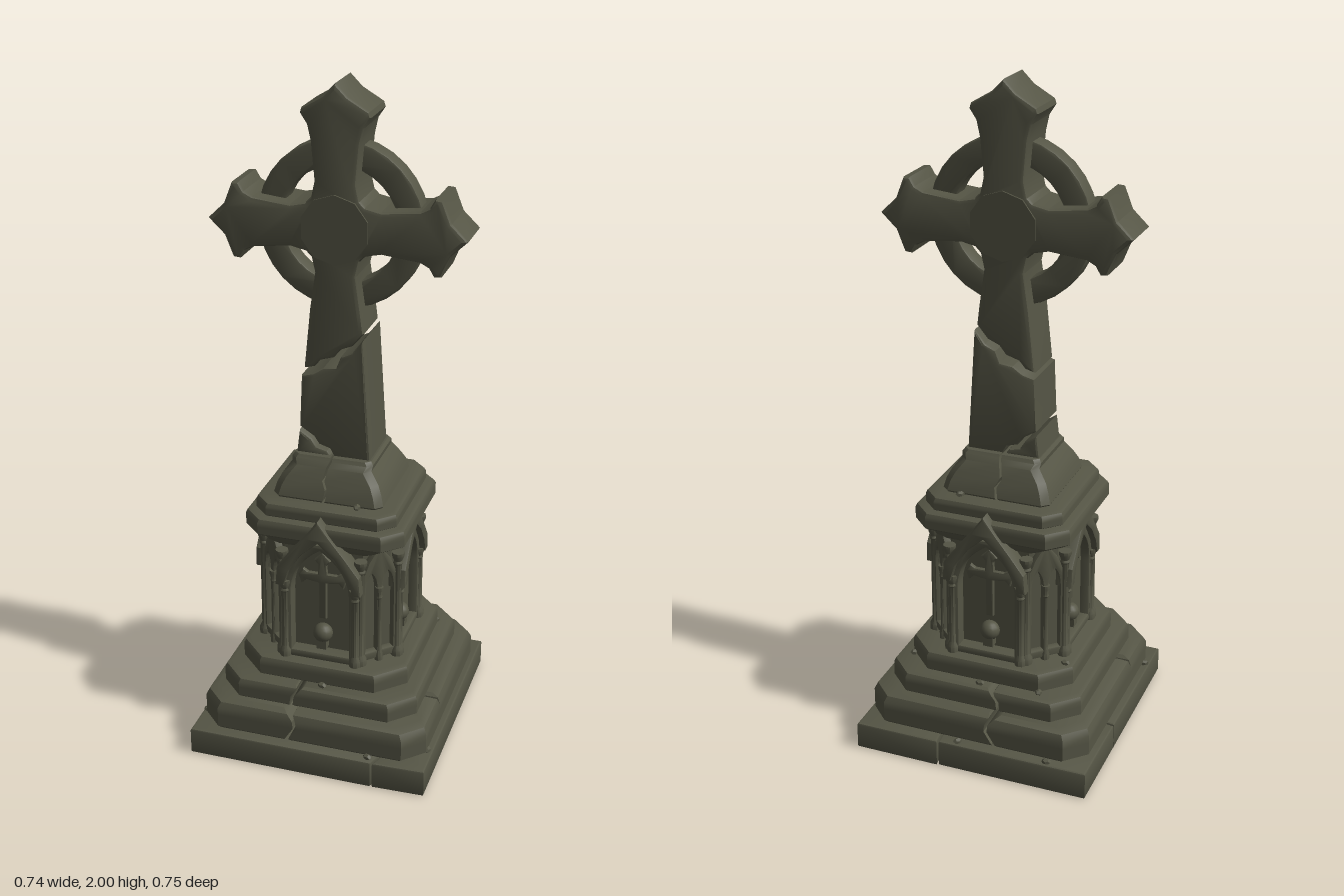
import * as THREE from 'three';
import { toCreasedNormals } from 'three/addons/utils/BufferGeometryUtils.js';

const stone = new THREE.MeshStandardMaterial({ color: 0x555545 });
stone.name = 'weathered stone';

function add(parent, name, geo, x = 0, y = 0, z = 0) {
  const m = new THREE.Mesh(geo, stone);
  m.name = name;
  m.position.set(x, y, z);
  parent.add(m);
  return m;
}

// Stack of chamfered rectangles [y, halfX, halfZ, chamfer, inset], clipped to a span in x and z
function loft(rings, x0 = () => -9, x1 = () => 9, z0 = -9, z1 = 9) {
  const pos = [];
  const loops = rings.map(([y, a, b, c, inset = 0]) =>
    [[a, b - c], [a - c, b], [c - a, b], [-a, b - c], [-a, c - b], [c - a, -b], [a - c, -b], [a, c - b]]
      .map(([x, z]) => [
        Math.min(Math.max(x, x0(y) + inset), x1(y) - inset), y,
        Math.min(Math.max(z, z0 + inset), z1 - inset)]));
  const tri = (...p) => p.forEach(v => pos.push(...v));
  for (let k = 0; k + 1 < loops.length; k++)
    for (let i = 0; i < 8; i++) {
      const j = (i + 1) % 8, A = loops[k], B = loops[k + 1];
      tri(A[i], B[i], A[j]);
      tri(A[j], B[i], B[j]);
    }
  const bottom = loops[0], top = loops[loops.length - 1];
  for (let i = 1; i < 7; i++) {
    tri(bottom[0], bottom[i], bottom[i + 1]);
    tri(top[0], top[i + 1], top[i]);
  }
  const g = new THREE.BufferGeometry();
  g.setAttribute('position', new THREE.Float32BufferAttribute(pos, 3));
  return toCreasedNormals(g, 0.6);
}

// Ring profile of one worn stone course with soft edges
function course(y0, y1, a, b, c, r) {
  return [[y0, 0.4], [y0 + 0.4 * r, 0], [(y0 + y1) / 2, 0], [y1 - r, 0], [y1 - 0.3 * r, 0.3], [y1, 1]]
    .map(([y, k]) => [y, a - k * r, b - k * r, c, k * r * 0.5]);
}

const toShape = pts => new THREE.Shape(pts.map(p => new THREE.Vector2(...p)));

// Extruded outline centred on z with a worn edge that stays inside the outline
function slab(shape, depth, bevel = 0.01) {
  const g = new THREE.ExtrudeGeometry(shape, {
    depth: depth - 2 * bevel, bevelEnabled: bevel > 0, bevelThickness: bevel, bevelSize: bevel,
    bevelOffset: -bevel, bevelSegments: 2, curveSegments: 16,
  });
  g.translate(0, 0, bevel - depth / 2);
  return toCreasedNormals(g, 0.5);
}

// Pointed arch opening
function lancet(cx, w, y0, spring, apex) {
  const p = new THREE.Path();
  p.moveTo(cx - w, y0);
  p.lineTo(cx + w, y0);
  p.lineTo(cx + w, spring);
  p.quadraticCurveTo(cx + w, (spring + apex) / 2 + 0.02, cx, apex);
  p.quadraticCurveTo(cx - w, (spring + apex) / 2 + 0.02, cx - w, spring);
  return p;
}

function colonnette(parent, x, z, y0, y1, r) {
  const pts = [[0, y0], [r * 1.6, y0], [r * 1.6, y0 + 0.02], [r, y0 + 0.035], [r, y1 - 0.04],
    [r * 1.25, y1 - 0.035], [r, y1 - 0.028], [r * 1.6, y1 - 0.01], [r * 1.6, y1], [0, y1]];
  const g = new THREE.LatheGeometry(pts.map(p => new THREE.Vector2(...p)), 10);
  add(parent, 'colonnette', toCreasedNormals(g, 0.6), x, 0, z);
}

// Gabled niche with a relief cross and a small skull
function niche() {
  const g = new THREE.Group();
  g.name = 'niche';
  const frame = toShape([[-0.12, 0.31], [0.12, 0.31], [0.12, 0.6], [0.05, 0.7], [-0.05, 0.7], [-0.12, 0.6]]);
  frame.holes.push(lancet(0, 0.088, 0.335, 0.53, 0.68));
  add(g, 'nicheFrame', slab(frame, 0.045, 0.007), 0, 0, 0.2025);
  const hood = toShape([[-0.105, 0.56], [-0.09, 0.61], [-0.05, 0.67], [0, 0.715], [0.05, 0.67], [0.09, 0.61], [0.105, 0.56],
    [0.13, 0.56], [0.125, 0.62], [0.08, 0.68], [0.04, 0.73], [0, 0.785], [-0.04, 0.73], [-0.08, 0.68], [-0.125, 0.62], [-0.13, 0.56]]);
  add(g, 'nicheHood', slab(hood, 0.055, 0.005), 0, 0, 0.2175);
  for (const s of [-1, 1]) colonnette(g, s * 0.108, 0.222, 0.31, 0.57, 0.011);
  const half = [[0.012, 0.44], [0.012, 0.56], [0.05, 0.565], [0.065, 0.55], [0.075, 0.58], [0.06, 0.6],
    [0.045, 0.59], [0.014, 0.59], [0.012, 0.62], [0.025, 0.635]];
  const relief = [...half, [0, 0.66], ...half.map(([x, y]) => [-x, y]).reverse()];
  add(g, 'reliefCross', slab(toShape(relief), 0.016, 0.004), 0, 0, 0.19);
  add(g, 'skull', new THREE.SphereGeometry(0.03, 14, 10), 0, 0.39, 0.192);
  add(g, 'skullJaw', new THREE.BoxGeometry(0.03, 0.03, 0.03), 0, 0.358, 0.197);
  return g;
}

// Twin lancet window for the cut corners
function cornerWindow() {
  const g = new THREE.Group();
  g.name = 'cornerWindow';
  const s = toShape([[-0.065, 0.32], [0.065, 0.32], [0.065, 0.58], [0.035, 0.65], [0, 0.695], [-0.035, 0.65], [-0.065, 0.58]]);
  for (const k of [-1, 1]) s.holes.push(lancet(k * 0.027, 0.019, 0.345, 0.54, 0.61));
  add(g, 'windowTracery', slab(s, 0.03, 0.004), 0, 0, 0.222);
  for (const k of [-1, 0, 1]) colonnette(g, k * 0.062, 0.232, 0.31, k ? 0.66 : 0.56, k ? 0.012 : 0.008);
  return g;
}

export function createModel() {
  const model = new THREE.Group();
  model.name = 'stoneCrossMonument';

  // Cracked ground slab in three pieces, drawn in x and -z
  const slabs = [
    [[-0.365, -0.37], [0.2, -0.37], [0.24, -0.25], [0.03, -0.05], [-0.12, 0.06], [-0.365, 0.1]],
    [[0.206, -0.37], [0.362, -0.365], [0.362, 0.375], [0.1, 0.375], [0.12, 0.2], [0.034, -0.046], [0.246, -0.25]],
    [[-0.365, 0.104], [-0.12, 0.064], [0.03, -0.044], [0.115, 0.2], [0.095, 0.372], [-0.365, 0.37]],
  ];
  for (const p of slabs) {
    const g = slab(toShape(p), 0.085, 0.006);
    g.rotateX(-Math.PI / 2);
    add(model, 'groundSlab', g, 0, 0.0425, 0);
  }

  // Stepped courses, split by a wandering crack
  const crack = y => -0.06 + 0.014 * Math.sin(y * 55);
  const crackEdge = y => crack(y) + 0.01;
  for (const [z0, z1] of [[-9, 0.12], [0.12, 9]]) {
    const lower = course(0.083, 0.185, 0.346, 0.342, 0.06, 0.028);
    add(model, 'lowerStep', loft(lower, undefined, crack, z0, z1));
    add(model, 'lowerStep', loft(lower, crackEdge, undefined, z0, z1));
  }
  const middle = course(0.183, 0.25, 0.302, 0.3, 0.07, 0.016);
  add(model, 'middleStep', loft(middle, undefined, crack));
  add(model, 'middleStep', loft(middle, crackEdge));
  add(model, 'upperStep', loft(course(0.248, 0.312, 0.258, 0.258, 0.08, 0.014)));

  // Cut-cornered body with niches and corner windows
  add(model, 'bodyCore', loft([[0.31, 0.185, 0.185, 0.065], [0.7, 0.185, 0.185, 0.065]]));
  for (let i = 0; i < 4; i++) {
    const n = niche();
    n.rotation.y = i * Math.PI / 2;
    if (i % 2) {
      n.scale.set(1, 0.94, 0.95);
      n.position.y = 0.02;
    }
    model.add(n);
    const w = cornerWindow();
    w.rotation.y = Math.PI / 4 + i * Math.PI / 2;
    model.add(w);
  }

  // Cornice mouldings
  add(model, 'lowerCornice', loft([[0.675, 0.2, 0.2, 0.07], [0.69, 0.218, 0.212, 0.06], [0.71, 0.228, 0.22, 0.06]]));
  add(model, 'cornice', loft(course(0.707, 0.762, 0.241, 0.232, 0.055, 0.014)));
  add(model, 'upperMoulding', loft(course(0.76, 0.805, 0.213, 0.208, 0.045, 0.014)));

  // Plinth under the shaft, split down the middle
  const plinth = [[0.8, 0.16, 0.155, 0.02], [0.81, 0.166, 0.16, 0.02], [0.84, 0.158, 0.152, 0.02], [0.865, 0.146, 0.14, 0.02],
    [0.9, 0.12, 0.125, 0.02], [0.915, 0.122, 0.112, 0.015], [0.925, 0.115, 0.105, 0.015]];
  const split = y => -0.012 + 0.008 * Math.sin(y * 70);
  add(model, 'plinth', loft(plinth, undefined, split));
  add(model, 'plinth', loft(plinth, y => split(y) + 0.007));

  // Broken shaft
  const shaftMain = [[0.002, 0.92], [0.11, 0.92], [0.086, 1.29], [0.055, 1.25], [0.022, 1.235], [0.008, 1.2], [-0.03, 1.195],
    [-0.06, 1.175], [-0.096, 1.165], [-0.103, 1.005], [-0.06, 0.978], [-0.045, 0.955], [-0.012, 0.945]];
  const shaftChip = [[-0.113, 0.92], [-0.006, 0.92], [-0.02, 0.937], [-0.053, 0.945], [-0.068, 0.968], [-0.104, 0.992]];
  add(model, 'shaft', slab(toShape(shaftMain), 0.178, 0.008));
  add(model, 'shaftChip', slab(toShape(shaftChip), 0.178, 0.008));

  // Cross head with flared pointed arms, continuing down to the break
  const upperRight = [[0.035, 0.365], [0.095, 0.33], [0.1, 0.315], [0.08, 0.285], [0.07, 0.24], [0.06, 0.13], [0.07, 0.085],
    [0.085, 0.07], [0.13, 0.06], [0.24, 0.072], [0.265, 0.085], [0.28, 0.11], [0.3, 0.108], [0.325, 0.045]];
  const lowerRight = [[0.325, -0.045], [0.3, -0.108], [0.28, -0.11], [0.265, -0.085], [0.24, -0.072], [0.13, -0.06],
    [0.085, -0.07], [0.07, -0.085], [0.06, -0.13], [0.076, -0.24]];
  const flip = pts => pts.map(([x, y]) => [-x, y]).reverse();
  const head = [[0, 0.4], ...upperRight, [0.372, 0], ...lowerRight,
    [0.083, -0.297], [0.05, -0.337], [0.015, -0.352], [-0.006, -0.378], [-0.045, -0.39], [-0.064, -0.412], [-0.094, -0.42],
    ...flip(lowerRight), [-0.372, 0], ...flip(upperRight)];
  add(model, 'crossHead', slab(toShape(head), 0.156, 0.012), 0, 1.6, -0.004);

  // Wheel ring and central boss
  const ring = new THREE.Shape().absarc(0, 0, 0.242, 0, Math.PI * 2);
  ring.holes.push(new THREE.Path().absarc(0, 0, 0.168, 0, Math.PI * 2));
  add(model, 'wheelRing', slab(ring, 0.062, 0.006), 0, 1.6, -0.005);
  const boss = new THREE.CylinderGeometry(0.1, 0.1, 0.166, 10);
  boss.rotateX(Math.PI / 2);
  add(model, 'centralBoss', toCreasedNormals(boss, 0.5), 0, 1.6, -0.004);

  // Loose pebbles on the ledges
  const pebbles = [[-0.24, 0.09, -0.355], [0.04, 0.09, -0.355], [0.325, 0.17, -0.26], [0, 0.255, -0.275], [0.1, 0.81, -0.17],
    [-0.18, 0.255, -0.26], [-0.23, 0.315, -0.17], [0.25, 0.255, -0.19], [0.095, 0.81, 0.165], [0.02, 0.255, 0.268],
    [-0.35, 0.09, 0.26], [0.345, 0.09, 0.26], [0.185, 0.09, 0.348]];
  pebbles.forEach(([x, y, z], i) => {
    const p = add(model, 'pebble', new THREE.DodecahedronGeometry(0.013), x, y, z);
    p.scale.set(1.1, 0.7, 0.8);
    p.rotation.y = i;
  });
  return model;
}
